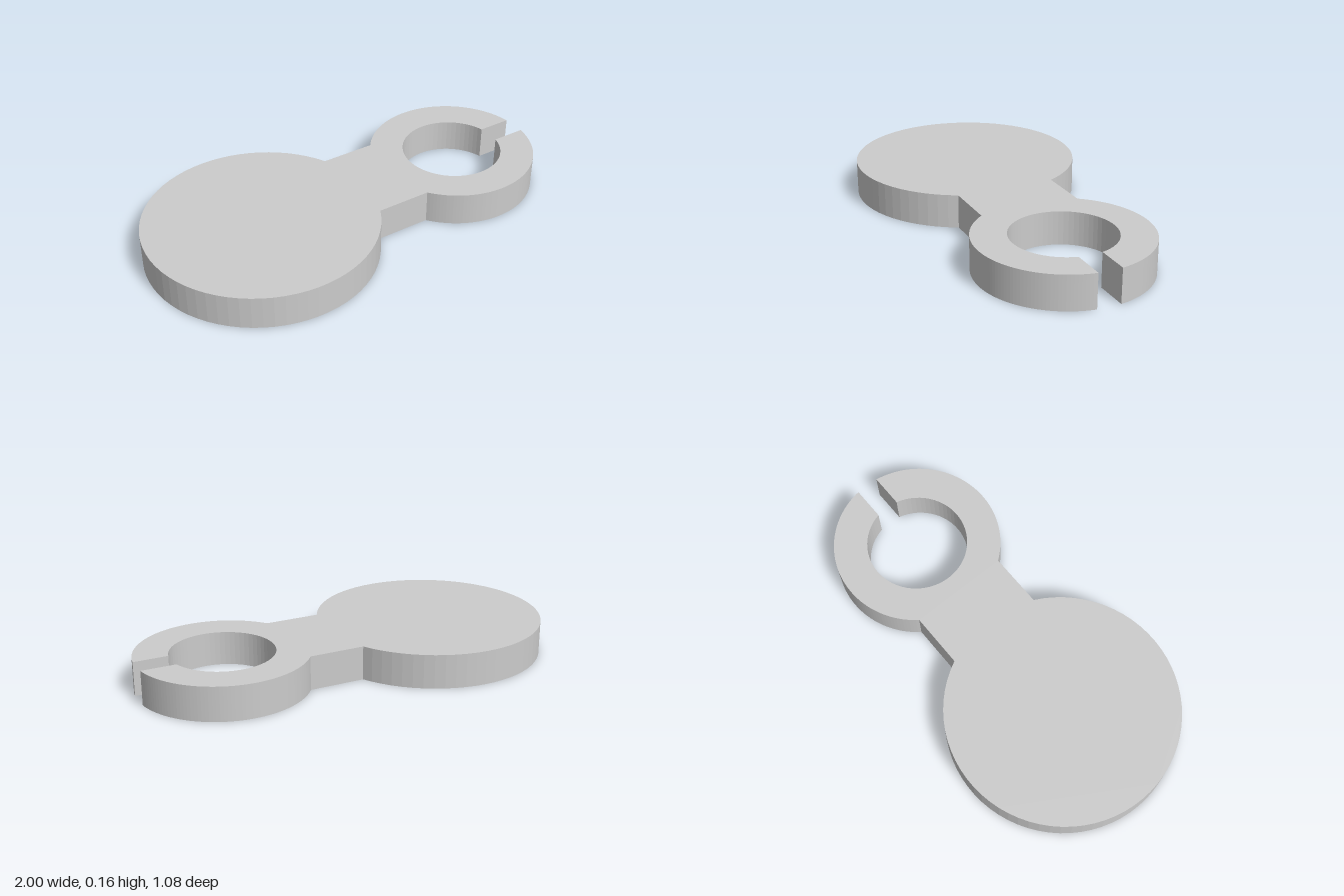
import * as THREE from 'three';

const HEIGHT = 0.16;
const DISC = { x: -0.46, r: 0.54 };
const RING = { x: 0.606, outer: 0.398, inner: 0.239 };
const NECK = 0.238; // half width of the bridge
const GAP = 0.055; // half width of the slot in the ring

export function createModel() {
  const group = new THREE.Group();
  group.name = 'discWithOpenRingClip';

  // Angles at which the straight edges meet the arcs
  const discNeck = Math.asin(NECK / DISC.r);
  const ringNeck = Math.asin(NECK / RING.outer);
  const gapOuter = Math.asin(GAP / RING.outer);
  const gapInner = Math.asin(GAP / RING.inner);

  // One continuous outline: disc, bridge, ring jaw, bore, other jaw, bridge
  const outline = new THREE.Shape();
  outline.absarc(DISC.x, 0, DISC.r, discNeck, 2 * Math.PI - discNeck, false);
  outline.absarc(RING.x, 0, RING.outer, Math.PI + ringNeck, 2 * Math.PI - gapOuter, false);
  outline.absarc(RING.x, 0, RING.inner, 2 * Math.PI - gapInner, gapInner, true);
  outline.absarc(RING.x, 0, RING.outer, gapOuter, Math.PI - ringNeck, false);
  outline.closePath();

  const geometry = new THREE.ExtrudeGeometry(outline, {
    depth: HEIGHT,
    bevelEnabled: false,
    curveSegments: 30,
  });
  geometry.rotateX(-Math.PI / 2);

  const plate = new THREE.Mesh(geometry, new THREE.MeshStandardMaterial({ color: 0xcccccc }));
  plate.name = 'clipPlate';
  group.add(plate);
  return group;
}
